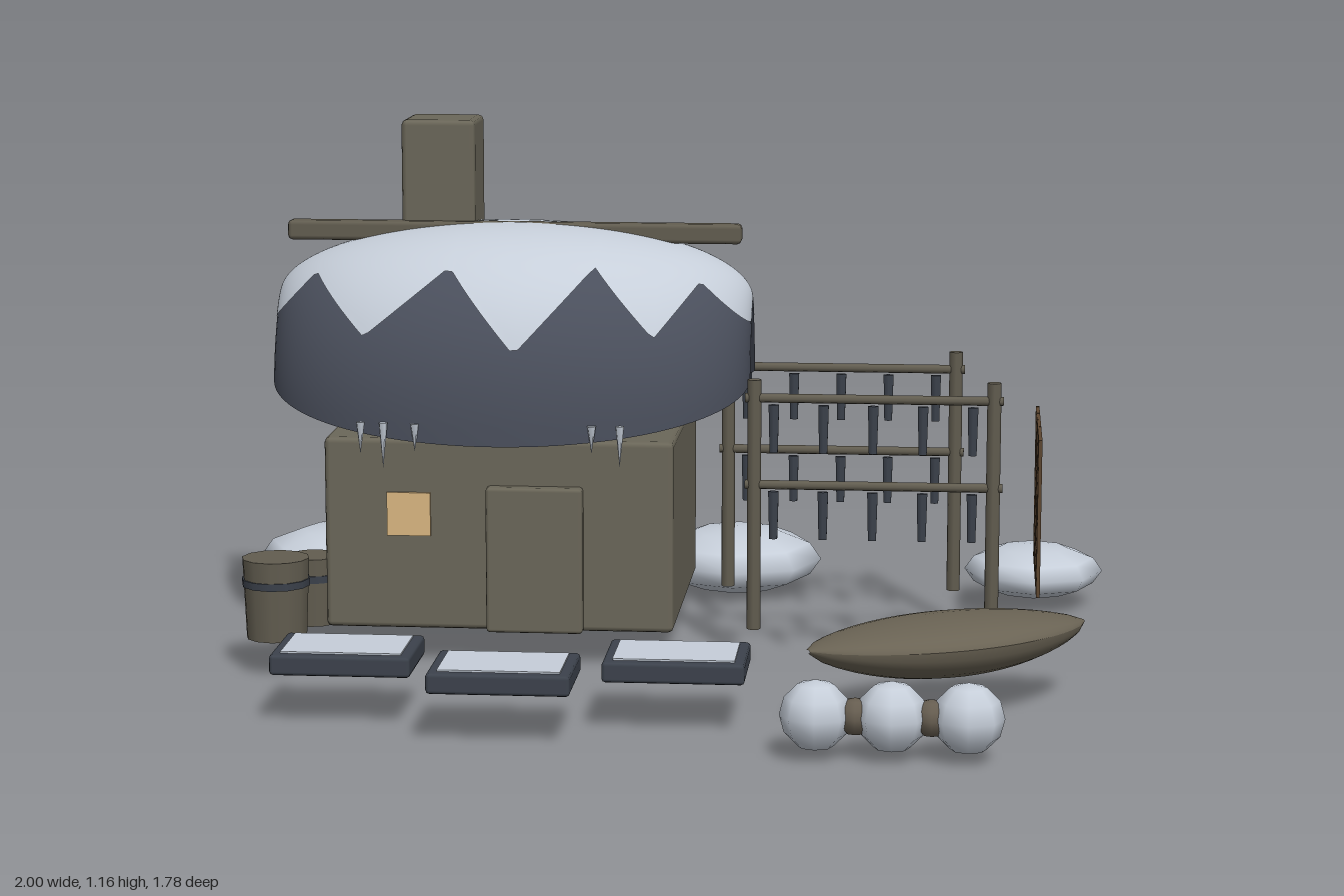
import * as THREE from 'three';
import { RoundedBoxGeometry } from 'three/addons/geometries/RoundedBoxGeometry.js';
import { ParametricGeometry } from 'three/addons/geometries/ParametricGeometry.js';

const mat = (name, color, side = THREE.FrontSide) => {
  const m = new THREE.MeshStandardMaterial({ color, side });
  m.name = name;
  return m;
};

export function createModel() {
  const wall = mat('weathered wood', 0x6b6759);
  const timber = mat('timber', 0x625d50);
  const slate = mat('slate hide', 0x4a4f5c, THREE.DoubleSide);
  const snow = mat('snow', 0xc6ced9, THREE.DoubleSide);
  const iron = mat('dark iron', 0x3c424c);
  const glow = mat('window glow', 0xd9b781);
  const cord = mat('net cord', 0x5c4630);
  const hull = mat('boat hide', 0x6a6354);
  const fur = mat('brown fur', 0x665d50);

  const root = new THREE.Group();
  root.name = 'hut';
  const add = (name, geo, material, x = 0, y = 0, z = 0, parent = root) => {
    const m = new THREE.Mesh(geo, material);
    m.name = name;
    m.position.set(x, y, z);
    parent.add(m);
    return m;
  };
  // Slightly bevelled box given by its minimum and maximum corners
  const box = (name, a, b, material, bevel = 0.008, parent = root) => {
    const s = a.map((v, i) => b[i] - v);
    const c = a.map((v, i) => (v + b[i]) / 2);
    return add(name, new RoundedBoxGeometry(...s, 1, bevel), material, ...c, parent);
  };
  const surface = (fn, nu, nv) => {
    const g = new ParametricGeometry(fn, nu, nv);
    g.computeVertexNormals();
    return g;
  };

  // House
  box('walls', [-0.71, 0.08, -0.52], [0.05, 0.5, 0.115], wall, 0.012);
  box('door', [-0.355, 0.08, 0.1], [-0.145, 0.4, 0.143], wall);
  add('window', new THREE.BoxGeometry(0.095, 0.095, 0.008), glow, -0.525, 0.335, 0.118);
  box('chimney', [-0.585, 0.62, -0.368], [-0.42, 1.16, -0.205], wall, 0.012);
  box('ridgeBeam', [-0.84, 0.892, -0.226], [0.175, 0.936, -0.184], timber, 0.01);

  // Roof: an arched section that shrinks toward both open ends
  const section = (theta) => {
    const s = Math.max(0, Math.cos(theta));
    return { u: Math.sin(theta), w: 0.08 + 0.325 * s, low: 0.6 - 0.1 * s, top: 0.765 + 0.165 * s, n: 1.5 + 0.85 * s };
  };
  const roofPoint = (q, phi, grow, target) => {
    const c = Math.cos(phi), e = 2 / q.n;
    target.set(
      -0.33 + 0.53 * q.u,
      q.low + (q.top - q.low) * Math.pow(Math.max(0, Math.sin(phi)), e) + grow,
      -0.205 + (q.w + grow) * Math.sign(c) * Math.pow(Math.abs(c), e)
    );
  };
  add('roof', surface((u, v, t) => roofPoint(section((u - 0.5) * Math.PI), v * Math.PI, 0, t), 48, 48), slate);

  // Snow cap with a jagged edge along both long sides
  const jag = [[-1, 0.72], [-0.8, 0.83], [-0.55, 0.715], [-0.21, 0.86], [0.08, 0.69], [0.38, 0.86], [0.63, 0.715], [0.8, 0.82], [1, 0.72]];
  const edgeHeight = (u) => {
    let i = 0;
    while (i < jag.length - 2 && u > jag[i + 1][0]) i++;
    const [a, b] = [jag[i], jag[i + 1]];
    return a[1] + (b[1] - a[1]) * (u - a[0]) / (b[0] - a[0]);
  };
  add('snowCap', surface((u, v, t) => {
    const q = section((u - 0.5) * Math.PI);
    const f = Math.min(0.96, (edgeHeight(q.u) - q.low) / (q.top - q.low));
    const start = Math.asin(Math.pow(f, q.n / 2));
    roofPoint(q, start + v * (Math.PI - 2 * start), 0.006, t);
  }, 96, 32), snow);

  // Icicles under the eaves: x, z, length
  [[-0.62, 0.17, 0.07], [-0.57, 0.175, 0.1], [-0.5, 0.185, 0.06], [-0.12, 0.18, 0.06], [-0.06, 0.175, 0.09],
    [-0.61, -0.585, 0.12], [-0.57, -0.588, 0.18], [-0.49, -0.595, 0.1], [-0.21, -0.6, 0.09], [-0.11, -0.585, 0.13]]
    .forEach(([x, z, h]) => {
      const g = new THREE.ConeGeometry(0.01, h, 5);
      g.rotateX(Math.PI);
      add('icicle', g, snow, x, 0.545 - h / 2, z);
    });

  // Drying racks with rows of hanging fish
  [[0.135, -0.375], [0.22, 0.05]].forEach(([x, z]) => {
    const rack = new THREE.Group();
    rack.name = 'dryingRack';
    rack.position.set(x, 0, z);
    root.add(rack);
    for (const px of [0, 0.515]) add('rackPost', new THREE.CylinderGeometry(0.015, 0.015, 0.55, 8), timber, px, 0.355, 0, rack);
    for (const y of [0.59, 0.4]) {
      const rail = new THREE.CylinderGeometry(0.01, 0.01, 0.555, 8);
      rail.rotateZ(Math.PI / 2);
      add('rackRail', rail, timber, 0.2575, y, 0, rack);
      for (let i = 0; i < 5; i++) {
        const fish = new THREE.CylinderGeometry(0.013, 0.01, 0.105, 6);
        fish.scale(1, 1, 0.6);
        add('fish', fish, iron, 0.042 + i * 0.107, y - 0.067, 0, rack);
      }
    }
  });

  // Hanging net
  const net = new THREE.Group();
  net.name = 'net';
  root.add(net);
  for (let i = 0; i < 6; i++) add('netUpright', new THREE.BoxGeometry(0.008, 0.345, 0.008), cord, 0.835, 0.335, 0.052 - i * 0.086, net);
  for (let i = 0; i < 5; i++) add('netCrossbar', new THREE.BoxGeometry(0.008, 0.008, 0.436), cord, 0.835, 0.167 + i * 0.084, -0.163, net);

  // Boat: pointed lens with a shallow deck and deeper hull
  const boat = add('boat', surface((u, v, t) => {
    const k = 2 * u - 1, a = v * 2 * Math.PI;
    const r = Math.pow(Math.max(0, 1 - k * k), 0.75) + 0.06;
    const y = Math.sin(a);
    t.set(0.325 * k, r * y * (y > 0 ? 0.04 : 0.078), 0.128 * r * Math.cos(a));
  }, 20, 24), hull, 0.645, 0.165, 0.435);
  boat.rotation.y = 0.53;

  // Curled sleepers: pale round bodies with brown backs
  for (let i = 0; i < 3; i++) {
    const x = 0.39 + i * 0.15;
    add('sleeperBody', new THREE.SphereGeometry(0.072, 8, 6), snow, x, 0.09, 0.818);
    add('sleeperBack', new THREE.SphereGeometry(0.066, 8, 6), fur, x, 0.083, 0.802);
    if (i) add('sleeperHead', new THREE.SphereGeometry(0.038, 8, 6), fur, x - 0.072, 0.088, 0.815);
  }

  // Barrels with a dark hoop
  [[-0.8, 0.215, 0.073, 0.175], [-0.745, 0.07, 0.057, 0.15]].forEach(([x, z, r, h]) => {
    add('barrel', new THREE.CylinderGeometry(r, r * 0.9, h, 12), timber, x, 0.08 + h / 2, z);
    add('barrelHoop', new THREE.CylinderGeometry(r * 1.02, r * 1.01, 0.016, 12), iron, x, 0.08 + h * 0.7, z);
  });

  // Trays filled with snow
  [[-0.585, 0.56], [-0.245, 0.685], [0.095, 0.56]].forEach(([x, z]) => {
    const tray = new THREE.Group();
    tray.name = 'tray';
    tray.position.set(x, 0, z);
    root.add(tray);
    add('trayBase', new RoundedBoxGeometry(0.29, 0.043, 0.208, 1, 0.008), iron, 0, 0.127, 0, tray);
    add('traySnow', new THREE.BoxGeometry(0.248, 0.008, 0.166), snow, 0, 0.148, 0, tray);
  });

  // Snow mounds: x, y, z, radius, half height
  [[-0.8, 0.078, -0.63, 0.2, 0.076], [0.135, 0.078, -0.695, 0.2, 0.076], [0.835, 0.086, -0.585, 0.16, 0.06]]
    .forEach(([x, y, z, r, h]) => {
      const g = new THREE.SphereGeometry(1, 8, 6);
      g.scale(r, h, r);
      add('snowMound', g, snow, x, y, z);
    });

  return root;
}
